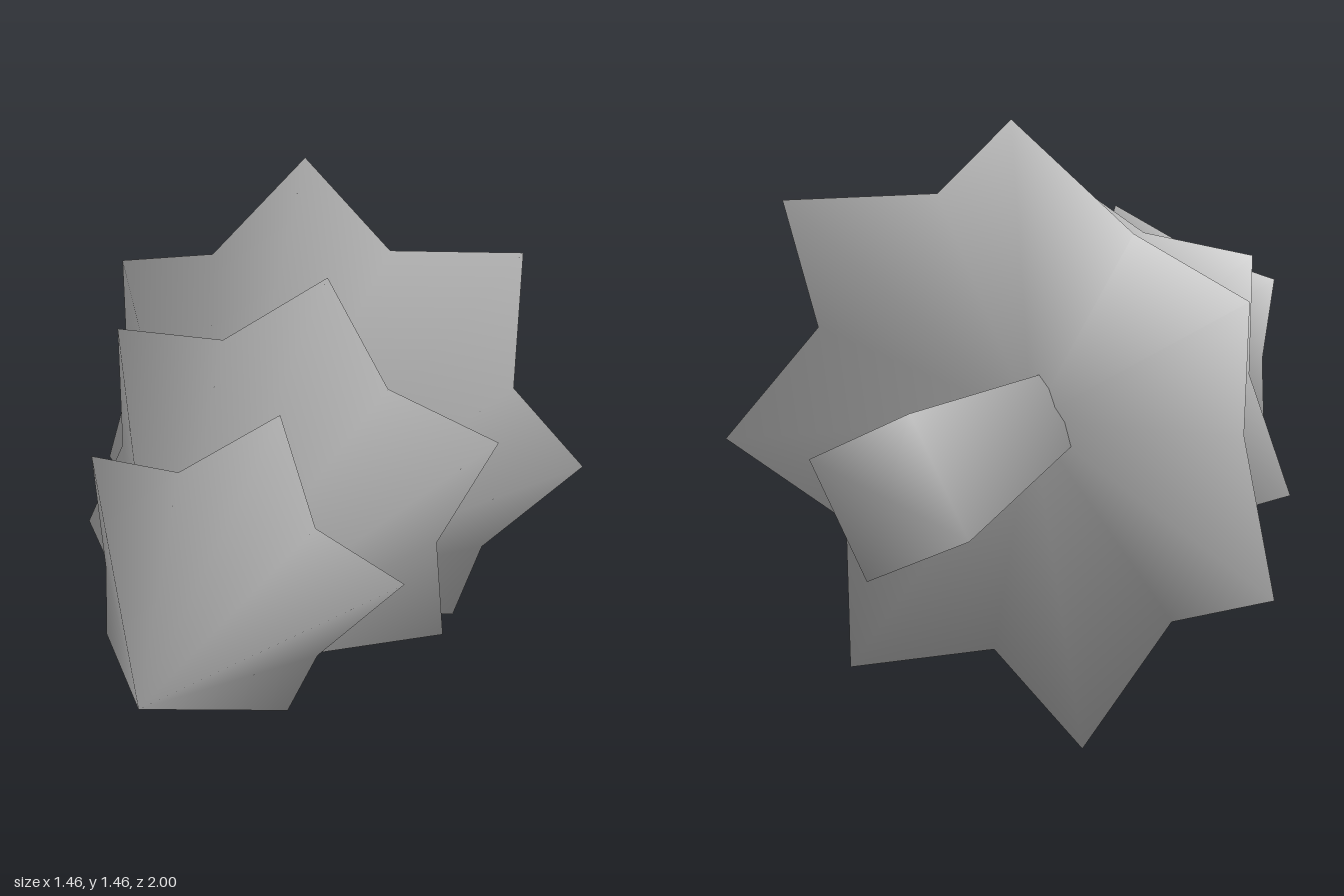
import * as THREE from 'three';

// Pointed solid along z: an apex, a (star) rim and a recessed underside,
// with smooth normals that roll around the rim.
function pointedSolid(rim, apexZ, backZ) {
  const n = rim.length;
  const positions = [0, 0, apexZ, 0, 0, backZ];
  const normals = [0, 0, 1, 0, 0, -1];
  const index = [];
  rim.forEach(({ angle, r, z }, i) => {
    const c = Math.cos(angle), s = Math.sin(angle);
    positions.push(r * c, r * s, z);
    normals.push(0.86 * c, 0.86 * s, -0.51);
    const a = 2 + i, b = 2 + (i + 1) % n;
    index.push(0, a, b, 1, b, a);
  });
  const g = new THREE.BufferGeometry();
  g.setAttribute('position', new THREE.Float32BufferAttribute(positions, 3));
  g.setAttribute('normal', new THREE.Float32BufferAttribute(normals, 3));
  g.setIndex(index);
  return g;
}

// Rim alternating between long tips and shorter notches
function starRim(points, startDeg, tipR, tipZ, notchR, notchZ) {
  const rim = [];
  for (let i = 0; i < points * 2; i++) {
    const tip = i % 2 === 0;
    rim.push({
      angle: THREE.MathUtils.degToRad(startDeg) + (i * Math.PI) / points,
      r: tip ? tipR : notchR,
      z: tip ? tipZ : notchZ,
    });
  }
  return rim;
}

export function createModel() {
  const group = new THREE.Group();
  group.name = 'tree';
  const grey = new THREE.MeshStandardMaterial({ color: 0xb8b8b8, side: THREE.DoubleSide });
  grey.name = 'grey';

  const add = (name, geometry) => {
    const mesh = new THREE.Mesh(geometry, grey);
    mesh.name = name;
    group.add(mesh);
  };

  // Foliage tiers, from the tip back to the trunk
  add('topTier', pointedSolid(starRim(5, 1.5, 0.427, 0.36, 0.292, 0.45), 1.0, 0.57));
  add('middleTier', pointedSolid(starRim(6, 19, 0.6, -0.09, 0.44, -0.035), 0.87, 0.15));
  add('bottomTier', pointedSolid(starRim(7, -6.5, 0.752, -0.6, 0.583, -0.46), 0.55, -0.37));

  // Four-sided trunk tapering into the foliage
  const trunkRim = [0, 1, 2, 3].map((i) => ({ angle: 0.3 + (i * Math.PI) / 2, r: 0.203, z: -1 }));
  add('trunk', pointedSolid(trunkRim, 0.7, -1));

  // The whole tree lies along z, leaning very slightly
  group.rotation.y = 0.03;
  group.position.y = 0.715;
  const root = new THREE.Group();
  root.name = 'lyingTree';
  root.add(group);
  return root;
}
